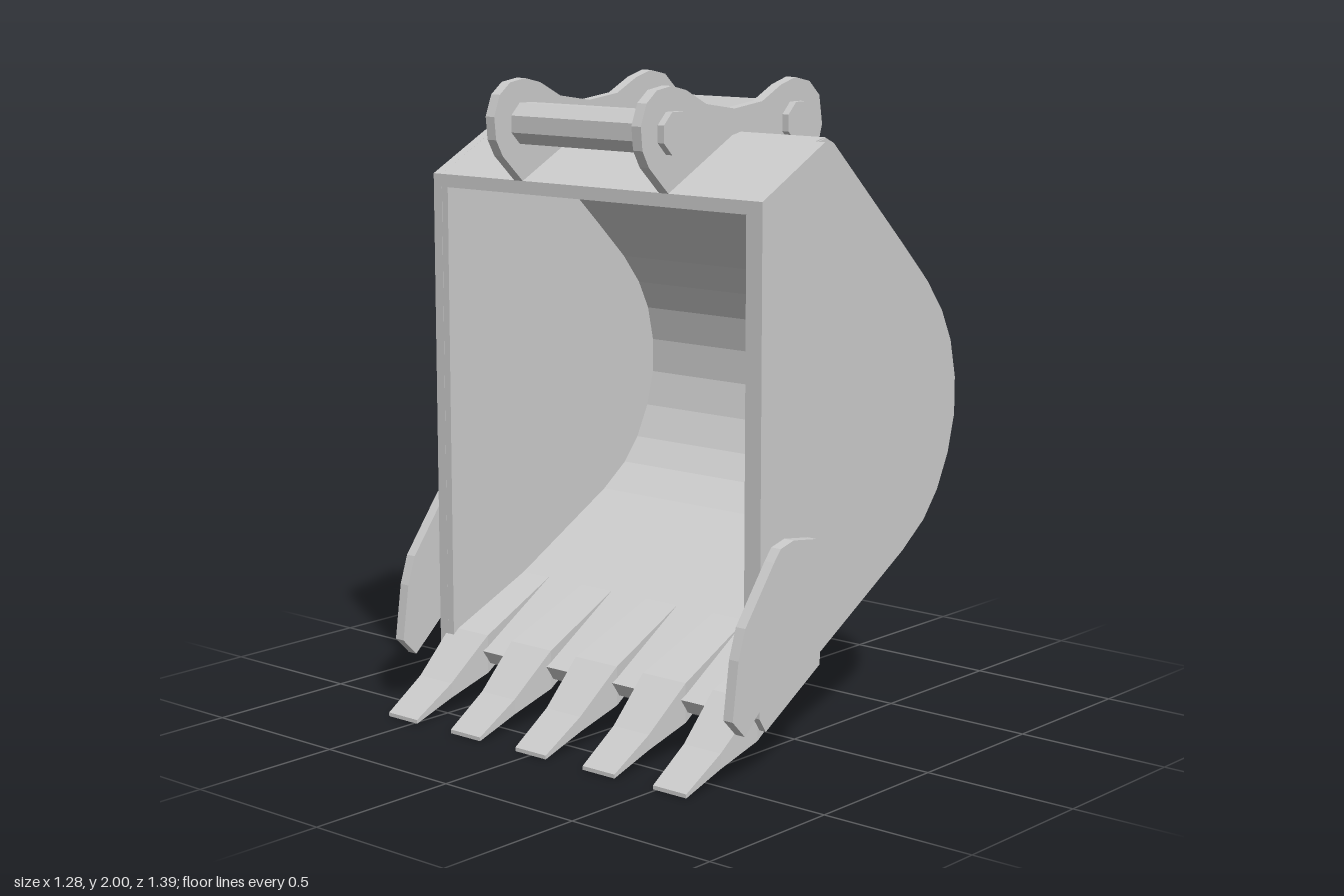
import * as THREE from 'three';

const material = new THREE.MeshStandardMaterial({ color: 0xcccccc, flatShading: true });

// Flat plate with an x-y outline, spanning z0 to z1
function plate(name, points, z0, z1) {
  const shape = new THREE.Shape(points.map(([x, y]) => new THREE.Vector2(x, y)));
  const geometry = new THREE.ExtrudeGeometry(shape, { depth: z1 - z0, bevelEnabled: false });
  geometry.translate(0, 0, z0);
  const mesh = new THREE.Mesh(geometry, material);
  mesh.name = name;
  return mesh;
}

// Shifts an open profile to its right-hand side, with mitred corners
function offset(points, t) {
  const p = points.map(([x, y]) => new THREE.Vector2(x, y));
  const normal = (a, b) => new THREE.Vector2(b.y - a.y, a.x - b.x).normalize();
  return p.map((v, i) => {
    const n0 = normal(p[Math.max(i - 1, 0)], p[Math.max(i, 1)]);
    const n1 = normal(p[Math.min(i, p.length - 2)], p[Math.min(i + 1, p.length - 1)]);
    const k = t / (1 + n0.dot(n1));
    return [v.x + (n0.x + n1.x) * k, v.y + (n0.y + n1.y) * k];
  });
}

// Tooth lofted through rectangular sections: x, top y, bottom y, half width
function toothGeometry() {
  const sections = [
    [-0.645, 0.012, 0.0, 0.063],
    [-0.5, 0.1, 0.053, 0.07],
    [-0.35, 0.228, 0.105, 0.085],
    [-0.04, 0.36, 0.285, 0.065],
  ];
  const positions = [];
  const index = [];
  for (const [x, top, bottom, w] of sections) {
    positions.push(x, bottom, -w, x, bottom, w, x, top, w, x, top, -w);
  }
  for (let s = 0; s < sections.length - 1; s++) {
    for (let j = 0; j < 4; j++) {
      const a = s * 4 + j, b = s * 4 + (j + 1) % 4;
      index.push(a, a + 4, b, b, a + 4, b + 4);
    }
  }
  const e = (sections.length - 1) * 4;
  index.push(0, 1, 2, 0, 2, 3, e, e + 2, e + 1, e, e + 3, e + 2);
  const geometry = new THREE.BufferGeometry();
  geometry.setAttribute('position', new THREE.Float32BufferAttribute(positions, 3));
  geometry.setIndex(index);
  const flat = geometry.toNonIndexed();
  flat.computeVertexNormals();
  return flat;
}

export function createModel() {
  const group = new THREE.Group();
  group.name = 'excavatorBucket';

  // Curved shell: top, back and floor
  const profile = [
    [-0.37, 1.69], [-0.08, 1.842], [-0.04, 1.85], [0.0, 1.832], [0.35, 1.505],
    [0.48, 1.38], [0.56, 1.28], [0.61, 1.18], [0.637, 1.06], [0.637, 0.94],
    [0.605, 0.82], [0.55, 0.71], [0.48, 0.625], [0.37, 0.545], [-0.34, 0.135],
  ];
  const inner = offset(profile, 0.035);
  inner[0] = [-0.37, 1.65];
  inner[inner.length - 1] = [-0.37, 0.18];
  group.add(plate('shell', [...profile, ...inner.reverse()], -0.625, 0.625));

  // Outlines of the paired plates
  const sideOutline = [...offset(profile, 0.003), [-0.37, 0.18]];
  const cheekOutline = [
    [-0.37, 1.69], [-0.085, 1.84], [-0.085, 0.285], [-0.34, 0.135], [-0.37, 0.18],
  ];
  const cutterOutline = [
    [-0.35, 0.65], [-0.32, 0.685], [-0.26, 0.7], [-0.15, 0.685], [-0.11, 0.665],
    [-0.1, 0.6], [-0.115, 0.52], [-0.15, 0.45], [-0.48, 0.16], [-0.535, 0.215],
    [-0.51, 0.39], [-0.48, 0.48],
  ];
  const earOutline = [
    [-0.365, 1.685], [-0.455, 1.77], [-0.483, 1.82], [-0.49, 1.89], [-0.465, 1.955],
    [-0.42, 1.99], [-0.355, 2.0], [-0.29, 1.985], [-0.2, 1.94], [-0.07, 1.92],
    [0.06, 1.935], [0.15, 1.98], [0.22, 2.0], [0.29, 1.985], [0.34, 1.94],
    [0.355, 1.85], [0.335, 1.785], [0.3, 1.7], [0.288, 1.64], [0.3, 1.58],
    [0.355, 1.495], [0.0, 1.822], [-0.04, 1.84], [-0.08, 1.832],
  ];

  // Plates on both sides
  for (const side of [-1, 1]) {
    const pair = (name, outline, a, b) => group.add(
      plate(name, outline, Math.min(side * a, side * b), Math.max(side * a, side * b)));
    pair('sidePlate', sideOutline, 0.6, 0.63);
    pair('cheekPlate', cheekOutline, 0.625, 0.66);
    pair('sideCutter', cutterOutline, 0.66, 0.695);
    pair('mountingEar', earOutline, 0.274, 0.31);
  }

  // Octagonal hinge pins
  for (const x of [-0.355, 0.22]) {
    const geometry = new THREE.CylinderGeometry(0.067, 0.067, 0.668, 8);
    geometry.rotateY(Math.PI / 8).rotateX(Math.PI / 2);
    const pin = new THREE.Mesh(geometry, material);
    pin.position.set(x, 1.865, 0);
    pin.name = 'hingePin';
    group.add(pin);
  }

  // Row of five teeth gripping the lip
  const geometry = toothGeometry();
  for (let i = -2; i <= 2; i++) {
    const tooth = new THREE.Mesh(geometry, material);
    tooth.position.z = i * 0.276;
    tooth.name = 'tooth';
    group.add(tooth);
  }

  return group;
}
